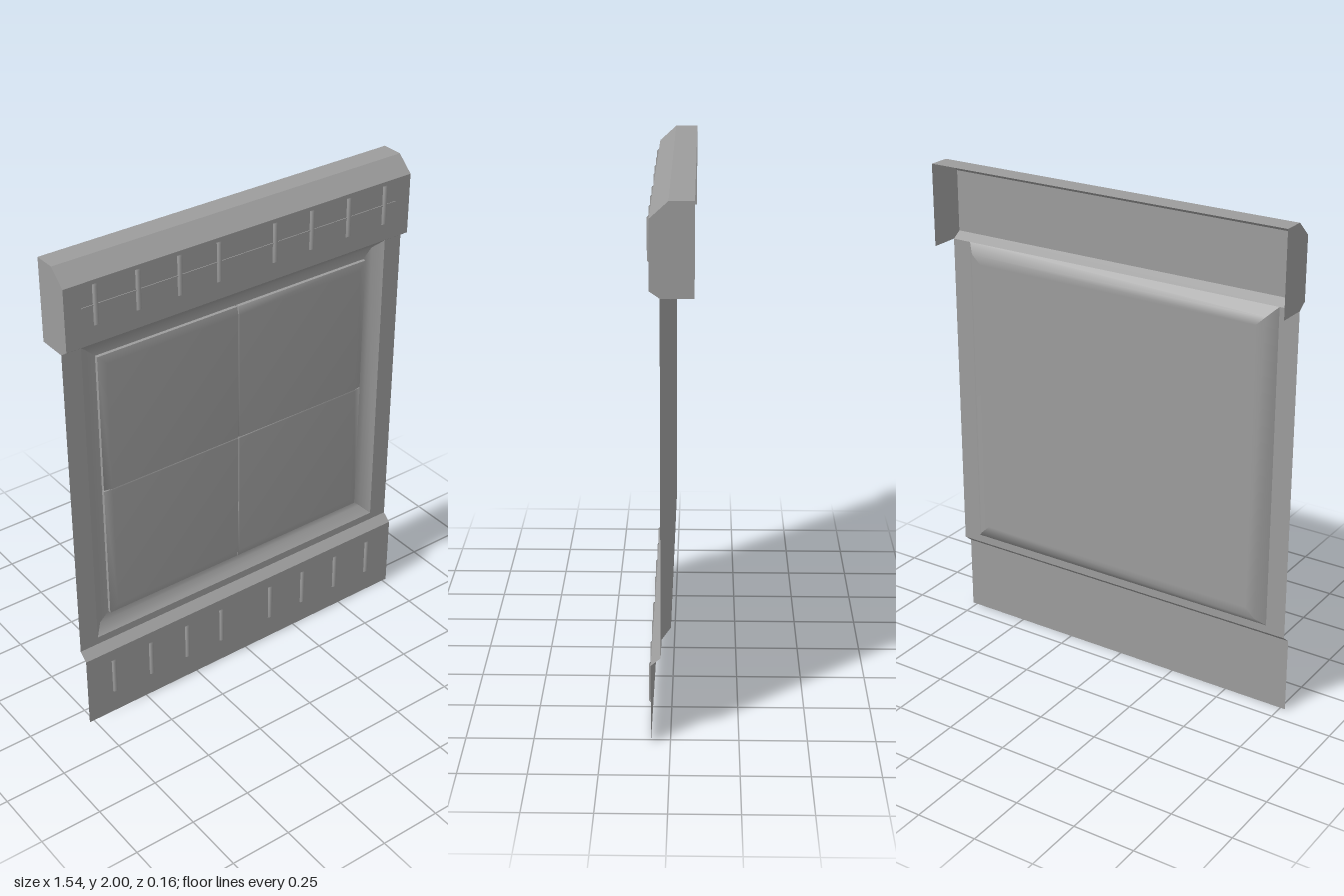
import * as THREE from 'three';

const W = 0.77;       // half width of the panel
const Z_FACE = 0.071; // header and skirt face
const Z_FRAME = 0.035;
const mat = new THREE.MeshStandardMaterial({ color: 0x9c9c9c, side: THREE.DoubleSide });

function add(parent, name, geo, x = 0, y = 0, z = 0) {
  const m = new THREE.Mesh(geo, mat);
  m.name = name;
  m.position.set(x, y, z);
  parent.add(m);
  return m;
}

// Geometry from rows of points, each joined to the next one;
// cap closes the last row when it is a rectangle
function loft(rows, { closed = false, smooth = false, cap = false } = {}) {
  const idx = [], n = rows[0].length;
  for (let i = 0; i < rows.length - 1; i++) {
    for (let j = 0; j < (closed ? n : n - 1); j++) {
      const a = i * n + j, b = i * n + (j + 1) % n;
      idx.push(a, b, b + n, a, b + n, a + n);
    }
  }
  if (cap) {
    const k = (rows.length - 1) * n;
    idx.push(k, k + 1, k + 2, k, k + 2, k + 3);
  }
  let g = new THREE.BufferGeometry();
  g.setAttribute('position', new THREE.Float32BufferAttribute(rows.flat(2), 3));
  g.setIndex(idx);
  if (!smooth) g = g.toNonIndexed();
  g.computeVertexNormals();
  return g;
}

// Counter-clockwise rectangle seen from the front
const rect = (x0, x1, y0, y1, z) => [[x0, y0, z], [x1, y0, z], [x1, y1, z], [x0, y1, z]];

// Folded sheet: [z, y] profile from bottom to top, swept across the full width
const sheet = profile => loft(profile.map(([z, y]) => [[-W, y, z], [W, y, z]]));

export function createModel() {
  const model = new THREE.Group();
  model.name = 'windowPanel';

  // Lower skirt with sloped ledge
  add(model, 'skirt', sheet([[Z_FACE, 0], [Z_FACE, 0.31], [Z_FRAME, 0.34]]));

  // Header hood, open at the back, with end caps
  const hood = [[Z_FRAME, 1.67], [Z_FACE, 1.695], [Z_FACE, 1.94], [0.005, 2], [-0.082, 2]];
  add(model, 'header', sheet(hood));
  const endShape = new THREE.Shape([...hood, [-0.082, 1.67]].map(([z, y]) => new THREE.Vector2(-z, y)));
  for (const s of [-1, 1]) {
    add(model, 'headerEnd', new THREE.ShapeGeometry(endShape), s * W).rotation.y = Math.PI / 2;
  }

  // Flat frame around the recess
  const frame = new THREE.Shape([[-W, 0.34], [W, 0.34], [W, 1.67], [0.69, 1.67], [0.69, 0.372],
    [-0.69, 0.372], [-0.69, 1.67], [-W, 1.67]].map(p => new THREE.Vector2(...p)));
  add(model, 'frame', new THREE.ShapeGeometry(frame), 0, 0, Z_FRAME);

  // Dished recess: four mitred sides, softly blended into the flat floor
  const rings = [
    rect(-0.69, 0.69, 0.372, 1.67, Z_FRAME),
    rect(-0.655, 0.655, 0.407, 1.635, 0),
    rect(-0.615, 0.615, 0.445, 1.597, 0),
  ];
  for (let i = 0; i < 4; i++) {
    add(model, 'recessSide', loft(rings.map(r => [r[i], r[(i + 1) % 4]]), { smooth: true }));
  }
  add(model, 'recessFloor', new THREE.PlaneGeometry(1.23, 1.152), 0, 1.021, 0);

  // Four raised panes, bevelled on their outer sides only, with a narrow cross gap
  const gap = 0.003, midY = 1.021;
  for (const sx of [-1, 1]) for (const sy of [-1, 1]) {
    const loop = (inset, z) => {
      const xs = [sx * gap, sx * (0.615 - inset)].sort((a, b) => a - b);
      const ys = [midY + sy * gap, midY + sy * (0.576 - inset)].sort((a, b) => a - b);
      return rect(...xs, ...ys, z);
    };
    add(model, 'paneEdge', loft([loop(0, 0), loop(0, 0.014)], { closed: true }));
    add(model, 'pane', loft([loop(0, 0.014), loop(0.033, 0.022)], { closed: true, smooth: true, cap: true }));
  }

  // Rounded vertical ribs standing on the header and skirt
  const rib = loft([[0, 0], [0.002, 0.006], [0.006, 0.01]].map(([inset, z]) =>
    rect(inset - 0.01, 0.01 - inset, inset - 0.079, 0.079 - inset, z)),
  { closed: true, smooth: true, cap: true });
  for (const y of [1.845, 0.18]) {
    for (const x of [0.125, 0.295, 0.47, 0.645]) for (const s of [-1, 1]) {
      add(model, 'rib', rib, s * x, y, Z_FACE);
    }
  }

  // Thin seam strip across the header
  add(model, 'seamStrip', new THREE.BoxGeometry(1.4, 0.005, 0.003), 0, 1.845, Z_FACE + 0.0015);

  return model;
}
